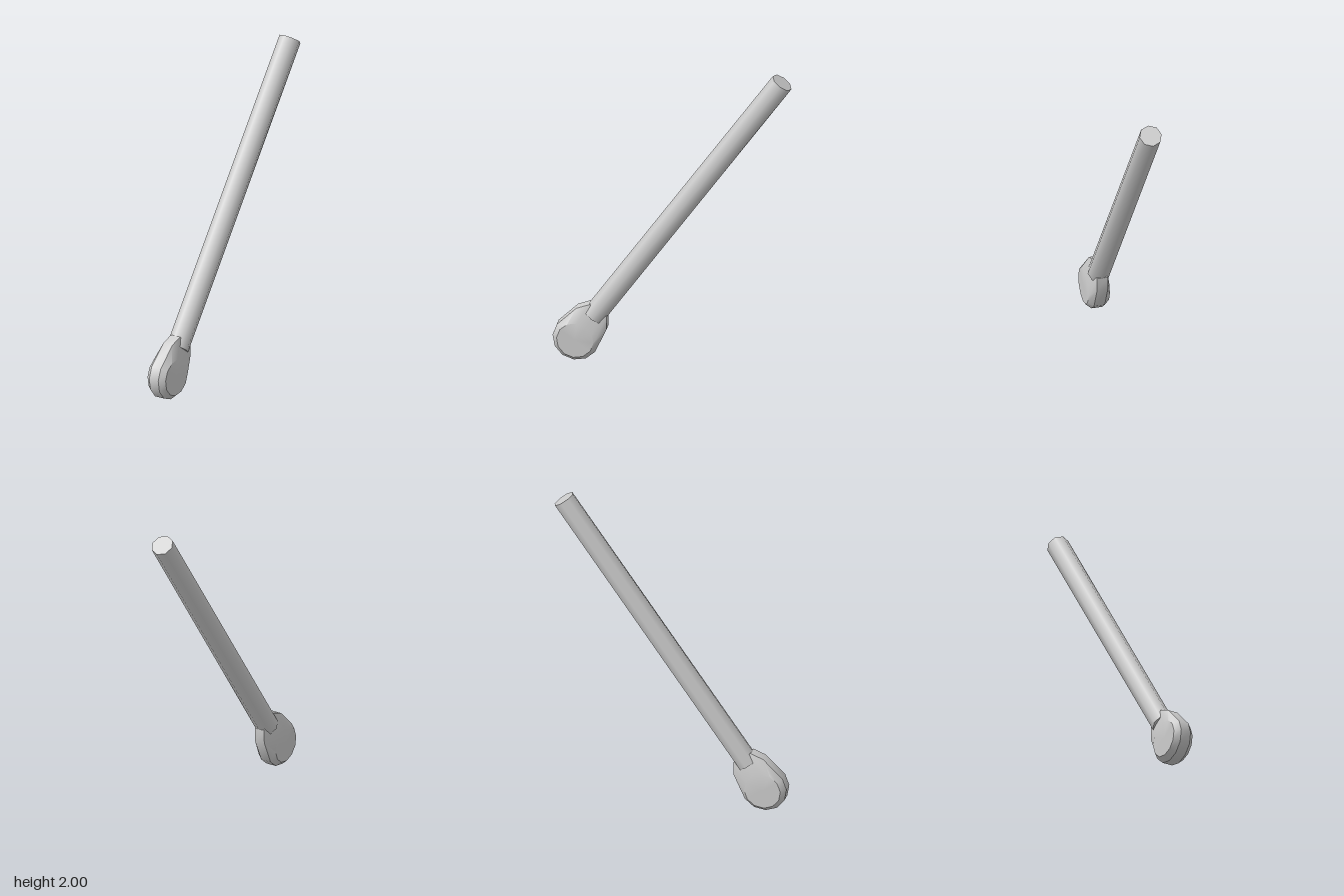
import * as THREE from 'three';
import { toCreasedNormals } from 'three/addons/utils/BufferGeometryUtils.js';

const SIDES = 12;

// Rim outline in the joint's own frame (y along the rod): a disc drawn out into a neck
function rimOutline() {
  const neck = { 0: [0, 0.24], 1: [0.066, 0.238], 2: [0.114, 0.167] };
  return Array.from({ length: SIDES }, (_, i) => {
    const k = Math.min(i, SIDES - i);
    const side = i > SIDES / 2 ? -1 : 1;
    if (neck[k]) return [neck[k][0] * side, neck[k][1]];
    const a = (i / SIDES) * Math.PI * 2;
    return [Math.sin(a) * 0.145, Math.cos(a) * 0.145];
  });
}

// Flat round faces bevelled out to the rim, lofted from back to front
function headGeometry() {
  const rim = rimOutline();
  const disc = rim.map((_, i) => {
    const a = (i / SIDES) * Math.PI * 2;
    return [Math.sin(a) * 0.115, Math.cos(a) * 0.115];
  });
  const centre = rim.map(() => [0, 0]);
  const rings = [[centre, -0.068], [disc, -0.068], [rim, -0.034],
    [rim, 0.034], [disc, 0.068], [centre, 0.068]];

  const pos = [];
  const put = (r, i) => pos.push(...rings[r][0][i % SIDES], rings[r][1]);
  for (let r = 0; r < rings.length - 1; r++) {
    for (let i = 0; i < SIDES; i++) {
      if (r > 0) { put(r, i); put(r + 1, i + 1); put(r, i + 1); }
      if (r < rings.length - 2) { put(r, i); put(r + 1, i); put(r + 1, i + 1); }
    }
    // close the first ring of triangles around the back centre
    if (r === 0) continue;
  }
  const geo = new THREE.BufferGeometry();
  geo.setAttribute('position', new THREE.Float32BufferAttribute(pos, 3));
  return toCreasedNormals(geo, 0.62);
}

export function createModel() {
  const material = new THREE.MeshStandardMaterial({ color: 0xcccccc });
  const model = new THREE.Group();
  model.name = 'rodWithJoint';

  // Joint head
  const head = new THREE.Mesh(headGeometry(), material);
  head.name = 'jointHead';
  model.add(head);

  // Straight eight-sided rod set into the neck
  const start = 0.18, end = 2.216;
  const rodGeo = new THREE.CylinderGeometry(0.07, 0.07, end - start, 8);
  rodGeo.translate(0, (start + end) / 2, 0);
  const rod = new THREE.Mesh(rodGeo, material);
  rod.name = 'rod';
  model.add(rod);

  // Lean the whole part toward +x about the joint
  model.rotation.z = THREE.MathUtils.degToRad(-35.1);
  model.position.set(-0.595, 0.147, 0);

  const root = new THREE.Group();
  root.name = 'linkRod';
  root.add(model);
  return root;
}
